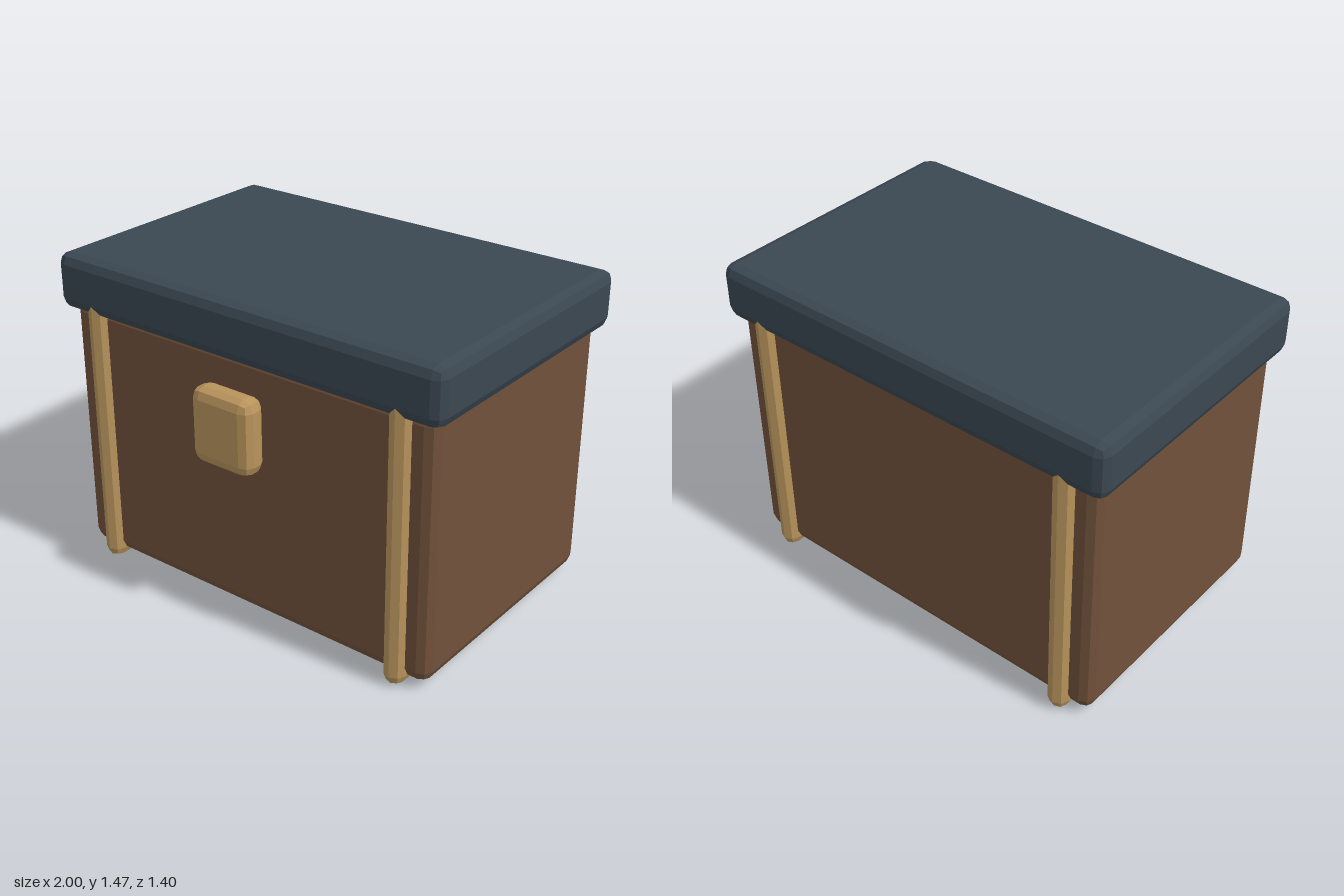
import * as THREE from 'three';
import { RoundedBoxGeometry } from 'three/addons/geometries/RoundedBoxGeometry.js';

const BEVEL = 0.05;

const material = (color) => new THREE.MeshStandardMaterial({ color, flatShading: true });

// Box with a two-facet bevel, given by its lowest and highest corners
function bevelBox(name, min, max, mat) {
  const size = max.map((v, i) => v - min[i]);
  const geometry = new RoundedBoxGeometry(...size, 1, BEVEL);
  geometry.computeVertexNormals(); // non-indexed, so facets stay flat
  const mesh = new THREE.Mesh(geometry, mat);
  mesh.position.set(...min.map((v, i) => (v + max[i]) / 2));
  mesh.name = name;
  return mesh;
}

export function createModel() {
  const chest = new THREE.Group();
  chest.name = 'chest';
  const wood = material(0x70513a);
  const slate = material(0x3a4752);
  const brass = material(0xb8945c);

  // Wooden body, its top edge tucked into the lid
  chest.add(bevelBox('body', [-0.95, 0.04, -0.655], [0.95, 1.25, 0.56], wood));

  // Overhanging lid
  chest.add(bevelBox('lid', [-1, 1.213, -0.7], [1, 1.47, 0.605], slate));

  // Straps running down the front, underneath and up the back
  for (const [name, x] of [['leftStrap', 0.8], ['rightStrap', -0.8]]) {
    chest.add(bevelBox(name, [x - 0.05, 0, -0.7], [x + 0.05, 1.35, 0.605], brass));
  }

  // Latch plate on the front
  chest.add(bevelBox('latch', [-0.155, 0.77, 0.55], [0.155, 1.113, 0.7], brass));
  const latch = chest.getObjectByName('latch');
  latch.scale.z = 0.8; // slimmer, so its back edge turns in just before the body
  latch.position.z = 0.64;

  return chest;
}
